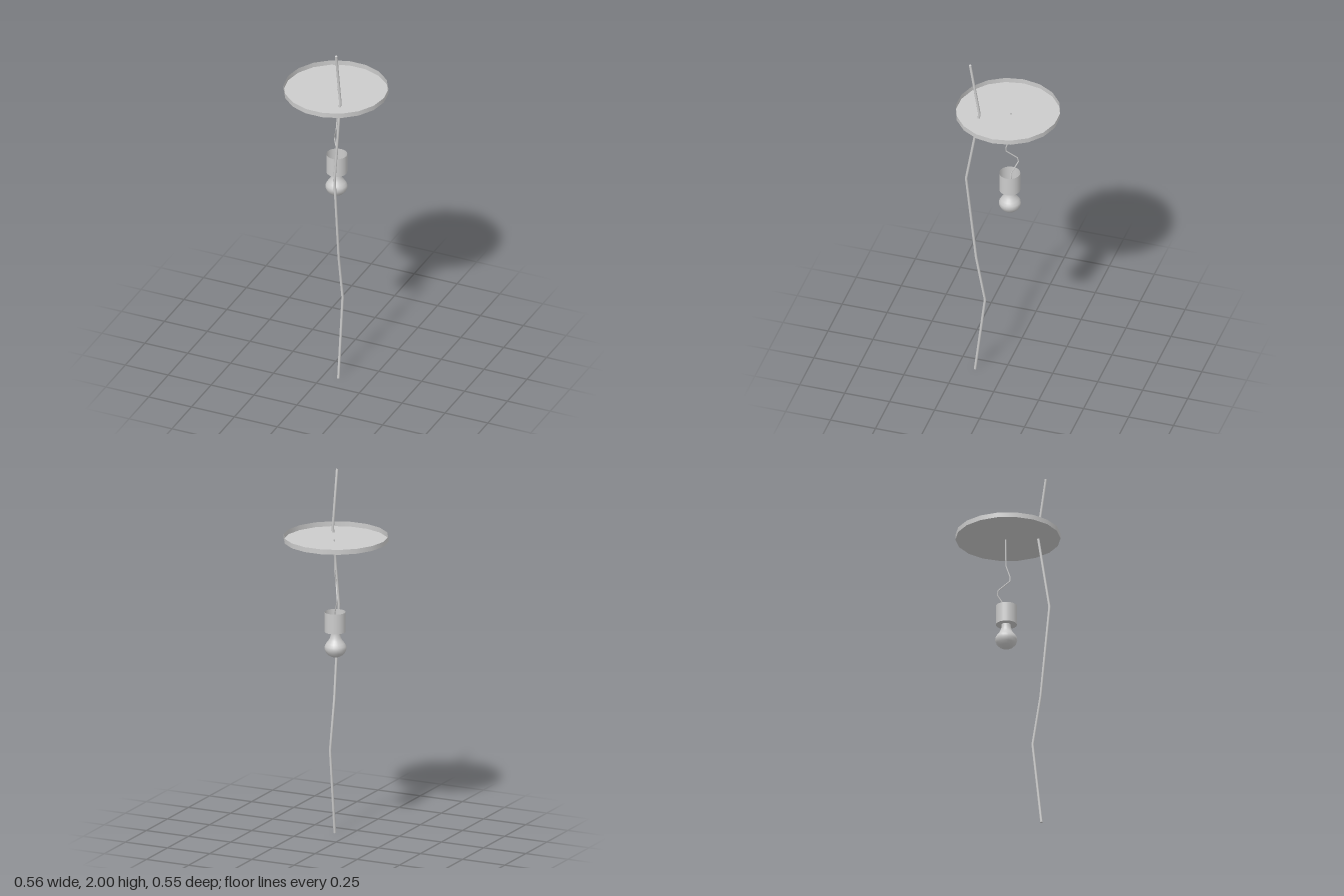
import * as THREE from 'three';

const material = new THREE.MeshStandardMaterial({ color: 0xcccccc, side: THREE.DoubleSide });

function addMesh(parent, name, geometry, x = 0, y = 0, z = 0) {
  const mesh = new THREE.Mesh(geometry, material);
  mesh.name = name;
  mesh.position.set(x, y, z);
  parent.add(mesh);
  return mesh;
}

// Path with straight runs, sampled exactly at its corners
class BentPath extends THREE.Curve {
  constructor(points) {
    super();
    this.points = points.map((p) => new THREE.Vector3(...p));
  }
  getPoint(t, target = new THREE.Vector3()) {
    const n = this.points.length - 1;
    const s = THREE.MathUtils.clamp(t, 0, 1) * n;
    const i = Math.min(Math.floor(s + 1e-9), n - 1);
    return target.lerpVectors(this.points[i], this.points[i + 1], s - i);
  }
  getPointAt(u, target) { return this.getPoint(u, target); }
  getTangentAt(u, target) { return this.getTangent(u, target); }
}

// Bent rod with a disc closing each end
function bentRod(name, points, radius, sides) {
  const rod = new THREE.Group();
  rod.name = name;
  const path = new BentPath(points);
  addMesh(rod, name + 'Tube', new THREE.TubeGeometry(path, points.length - 1, radius, sides, false));
  for (const end of [0, 1]) {
    const p = path.getPoint(end);
    const cap = addMesh(rod, name + 'End', new THREE.CircleGeometry(radius, sides), p.x, p.y, p.z);
    const outward = path.getTangent(end).multiplyScalar(end ? 1 : -1);
    cap.quaternion.setFromUnitVectors(new THREE.Vector3(0, 0, 1), outward);
  }
  return rod;
}

// Thin round cup, open at the top
function openCup(name, radius, bottom, top, sides, z) {
  const cup = new THREE.Group();
  cup.name = name;
  const wall = new THREE.CylinderGeometry(radius, radius, top - bottom, sides, 1, true, Math.PI / 2);
  addMesh(cup, name + 'Wall', wall, 0, (top + bottom) / 2, z);
  const floor = new THREE.CircleGeometry(radius, sides).rotateX(Math.PI / 2);
  addMesh(cup, name + 'Floor', floor, 0, bottom, z);
  return cup;
}

export function createModel() {
  const model = new THREE.Group();
  model.name = 'hangingLamp';

  // Crooked pole passing through the tray
  model.add(bentRod('pole', [
    [0.085, 0, 0.155], [0.085, 0.47, 0.1], [0.085, 0.74, 0.15],
    [0.085, 1.25, 0.205], [0.085, 1.69, 0.131], [0.085, 2, 0.183],
  ], 0.007, 10));

  // Shallow round tray
  model.add(openCup('tray', 0.279, 1.663, 1.69, 18, -0.001));

  // Kinked cord from the tray down into the socket
  model.add(bentRod('cord', [
    [0.002, 1.672, -0.017], [0.002, 1.51, -0.015], [0.006, 1.44, 0.008], [0.004, 1.415, 0.01],
    [-0.028, 1.36, -0.044], [-0.03, 1.335, -0.05], [-0.001, 1.27, -0.018], [-0.001, 1.17, -0.012],
  ], 0.0035, 8));

  // Socket and bulb
  model.add(openCup('socket', 0.056, 1.163, 1.272, 24, -0.011));
  const profile = [
    [0, 1.022], [0.02, 1.026], [0.038, 1.036], [0.052, 1.051], [0.059, 1.07], [0.057, 1.086],
    [0.048, 1.101], [0.036, 1.117], [0.029, 1.132], [0.025, 1.15], [0.024, 1.168],
  ].map(([r, y]) => new THREE.Vector2(r, y));
  addMesh(model, 'bulb', new THREE.LatheGeometry(profile, 24), -0.002, 0, -0.011);

  return model;
}
